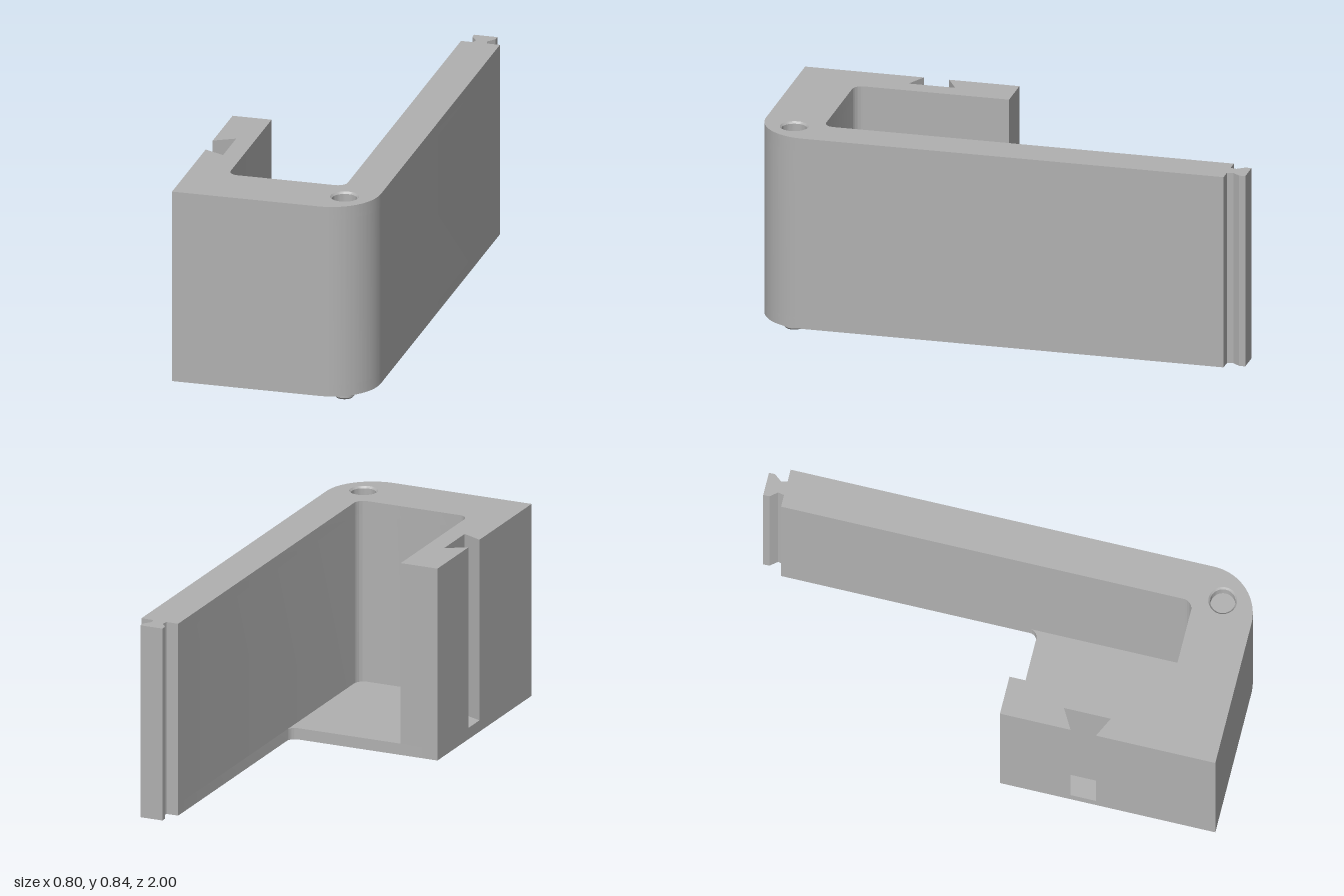
import * as THREE from 'three';
import { toCreasedNormals } from 'three/addons/utils/BufferGeometryUtils.js';

const BASE = 0.043, FLOOR = 0.09, HOLE = 0.79, TOP = 0.843;
const PIN_X = 0.27, PIN_Z = 0.867, HOLE_R = 0.057;

// Plan outline, drawn as (x, -z). The floor slab has no cavity and no groove.
function outline(isFloor) {
  const s = new THREE.Shape();
  const to = (...pts) => pts.forEach(([x, y]) => s.lineTo(x, y));
  s.moveTo(-0.4, -0.125);
  // dovetail groove in the side of the block
  if (!isFloor) to([-0.4, -0.412], [-0.317, -0.365], [-0.317, -0.555], [-0.4, -0.515]);
  to([-0.4, -1], [0.2, -1]);
  s.absarc(0.2, -0.8, 0.2, -Math.PI / 2, 0, false);
  // long wall ending in the dovetail rail
  to([0.4, 0.92], [0.348, 0.92], [0.343, 0.945], [0.367, 0.975], [0.367, 1],
    [0.271, 1], [0.271, 0.975], [0.295, 0.945], [0.29, 0.92], [0.24, 0.92]);
  if (isFloor) {
    s.lineTo(0.24, -0.09);
    s.absarc(0.205, -0.09, 0.035, 0, -Math.PI / 2, true);
  } else {
    // rounded cavity corners
    s.lineTo(0.24, -0.715);
    s.absarc(0.2, -0.715, 0.04, 0, -Math.PI / 2, true);
    s.absarc(-0.2, -0.715, 0.04, -Math.PI / 2, -Math.PI, true);
    s.lineTo(-0.24, -0.125);
  }
  s.closePath();
  return s;
}

export function createModel() {
  const group = new THREE.Group();
  const grey = new THREE.MeshStandardMaterial({ color: 0xb0b0b0 });
  grey.name = 'grey';
  grey.side = THREE.DoubleSide;

  const add = (name, geometry) => {
    const mesh = new THREE.Mesh(toCreasedNormals(geometry, 0.5), grey);
    mesh.name = name;
    group.add(mesh);
    return mesh;
  };
  const slab = (name, shape, y0, y1) => {
    const g = new THREE.ExtrudeGeometry(shape, { depth: y1 - y0, bevelEnabled: false, curveSegments: 20 });
    add(name, g.rotateX(-Math.PI / 2).translate(0, y0, 0));
  };
  const turned = (name, profile) => {
    const pts = profile.map(([r, y]) => new THREE.Vector2(r, y));
    add(name, new THREE.LatheGeometry(pts, 40)).position.set(PIN_X, 0, PIN_Z);
  };

  // floor, walls, and the top layer pierced by the socket
  slab('floor', outline(true), BASE, FLOOR);
  slab('walls', outline(false), FLOOR, HOLE);
  const rim = outline(false);
  rim.holes.push(new THREE.Path().absarc(PIN_X, -PIN_Z, HOLE_R, 0, Math.PI * 2, true));
  slab('upperWalls', rim, HOLE, TOP);

  // chamfered socket lining and the matching pin underneath
  turned('socketLining', [[0.05, HOLE], [0.05, TOP - 0.008], [HOLE_R, TOP]]);
  turned('pin', [[0, 0], [0.034, 0], [0.04, 0.007], [0.04, BASE]]);
  return group;
}
